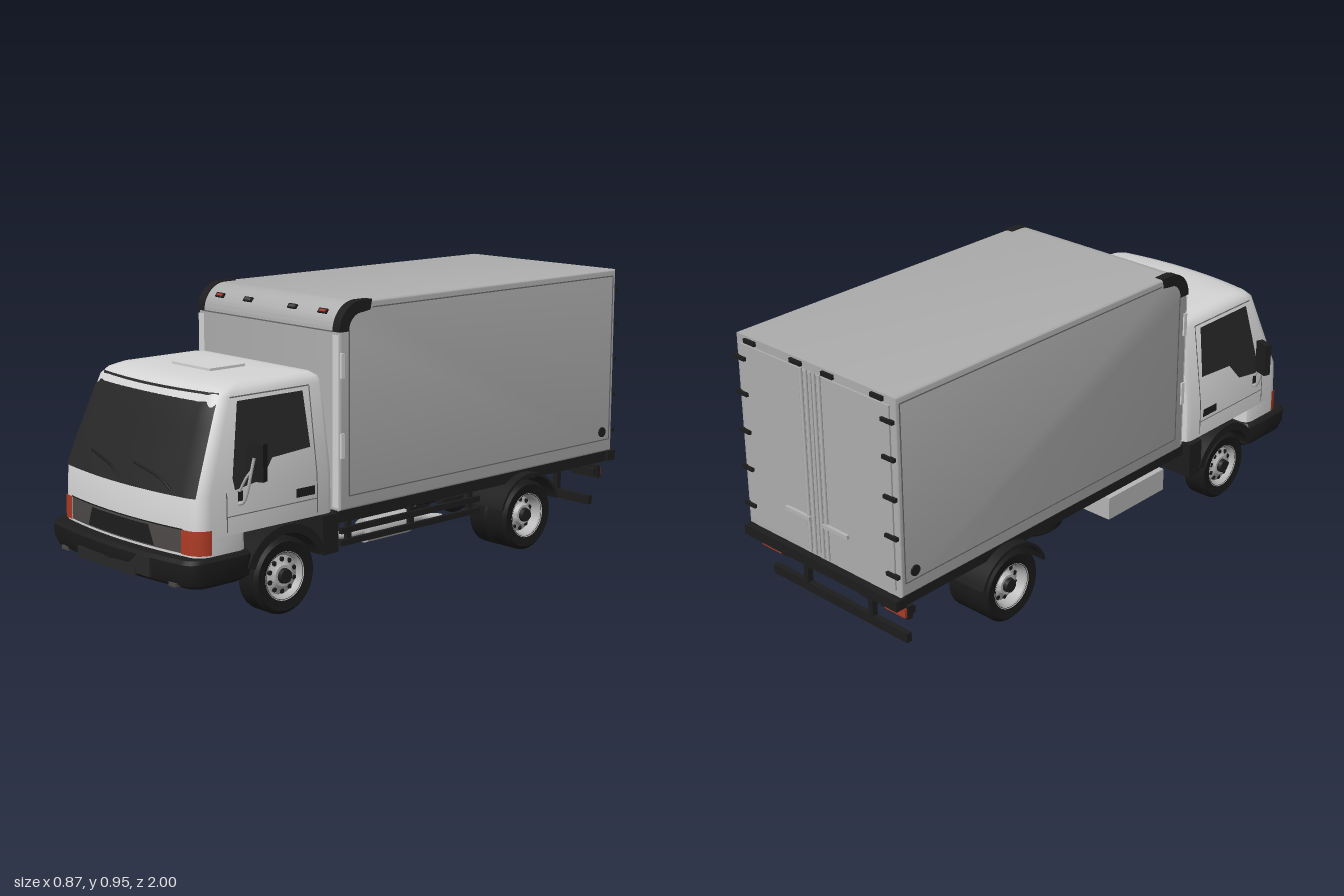
import * as THREE from 'three';
import { toCreasedNormals } from 'three/addons/utils/BufferGeometryUtils.js';

const material = (name, color) => Object.assign(new THREE.MeshStandardMaterial({ color }), { name });
const M = {
  cab: material('cab white', 0xd4d4d4), box: material('cargo grey', 0xaeaeae),
  trim: material('black trim', 0x1d1d1d), glass: material('dark glass', 0x282828),
  rubber: material('tyre rubber', 0x191919), metal: material('silver metal', 0xb6b6b6),
  lamp: material('red lamp', 0xac3a24), grille: material('grille grey', 0x4c4947),
  seam: material('seam grey', 0x6a6a6a),
};
const V = (x, y, z) => new THREE.Vector3(x, y, z);

// Cab sections by height: y, half width, front z, back z
const CAB = [
  [0.235, 0.352, 0.955, 0.387], [0.29, 0.352, 0.955, 0.387], [0.42, 0.35, 0.95, 0.387],
  [0.70, 0.312, 0.842, 0.39], [0.72, 0.3, 0.82, 0.395], [0.732, 0.28, 0.78, 0.41], [0.738, 0.235, 0.71, 0.45],
];
function cabAt(y) {
  let i = 0;
  while (i < CAB.length - 2 && y > CAB[i + 1][0]) i++;
  const k = (y - CAB[i][0]) / (CAB[i + 1][0] - CAB[i][0]);
  return CAB[i].map((v, n) => v + (CAB[i + 1][n] - v) * k);
}
// Point on a bowed front with rounded corners; t runs from -1 (right) to 1 (left)
function frontPoint([y, hw, zf], t, off = 0, r = 0.05, bow = 0.035) {
  const s = Math.abs(t), flat = hw - r, bend = (x) => zf - bow * (x / hw) ** 2;
  let x, z;
  if (s <= 0.8) { x = (s / 0.8) * flat; z = bend(x) + off; } else {
    const a = ((s - 0.8) / 0.2) * Math.PI / 2;
    x = flat + (r + off) * Math.sin(a);
    z = bend(flat) - r + (r + off) * Math.cos(a);
  }
  return V(Math.sign(t) * x, y, z);
}
function ring(sec) {
  const [y, hw, , zb] = sec, p = [], b = 0.025;
  for (let i = -16; i <= 16; i++) p.push(frontPoint(sec, Math.abs(i) <= 8 ? i * 0.1 : Math.sign(i) * (0.8 + (Math.abs(i) - 8) * 0.025)));
  const back = [[hw, zb + b], [hw - b * 0.3, zb + b * 0.3], [hw - b, zb]];
  back.forEach(([x, z]) => p.push(V(x, y, z)));
  back.reverse().forEach(([x, z]) => p.push(V(-x, y, z)));
  return p;
}
function geometryOf(points, index) {
  const g = new THREE.BufferGeometry().setFromPoints(points);
  g.setIndex(index);
  g.computeVertexNormals();
  return g;
}
// Closed body through stacked sections
function loft(sections) {
  const pts = sections.flatMap(ring), n = pts.length / sections.length, idx = [], last = pts.length - n;
  for (let j = 0; j < sections.length - 1; j++) for (let i = 0; i < n; i++) {
    const a = j * n + i, b = j * n + (i + 1) % n;
    idx.push(a, b, b + n, a, b + n, a + n);
  }
  const c = pts.length, mid = (s) => V(0, s[0], (s[2] + s[3]) / 2);
  pts.push(mid(sections[0]), mid(sections.at(-1)));
  for (let i = 0; i < n; i++) idx.push(c, (i + 1) % n, i, c + 1, last + i, last + (i + 1) % n);
  return toCreasedNormals(geometryOf(pts, idx), 0.6);
}
// Thin plate on the cab front; left/right limits given at the bottom and top edge
function frontPlate(y0, y1, l0, r0, l1, r1, off) {
  const nu = 24, nv = 6, pts = [], idx = [], mix = THREE.MathUtils.lerp;
  for (let j = 0; j <= nv; j++) for (let i = 0; i <= nu; i++) {
    const v = j / nv, t = mix(mix(l0, l1, v), mix(r0, r1, v), i / nu);
    pts.push(frontPoint(cabAt(mix(y0, y1, v)), t, off));
    const a = j * (nu + 1) + i;
    if (i < nu && j < nv) idx.push(a, a + 1, a + nu + 2, a, a + nu + 2, a + nu + 1);
  }
  return geometryOf(pts, idx);
}
// Thin plate on a cab side, outline as [z, y]
function sidePlate(outline, s, off) {
  const g = new THREE.ShapeGeometry(new THREE.Shape(outline.map(([z, y]) => new THREE.Vector2(z, y))));
  const p = g.attributes.position;
  for (let i = 0; i < p.count; i++) p.setXYZ(i, s * (cabAt(p.getY(i))[1] + off), p.getY(i), p.getX(i));
  if (s > 0) g.setIndex([...g.index.array].reverse());
  g.computeVertexNormals();
  return g;
}
// Extrude a (z, y) shape across x
function across(shape, x0, x1, bevel = 0) {
  const g = new THREE.ExtrudeGeometry(shape, {
    depth: x1 - x0 - 2 * bevel, curveSegments: 14, bevelEnabled: bevel > 0,
    bevelSize: bevel, bevelThickness: bevel, bevelOffset: -bevel, bevelSegments: 3,
  });
  return toCreasedNormals(g.rotateY(-Math.PI / 2).translate(x1 - bevel, 0, 0), 0.6);
}
function arcBand(z, y, r0, r1, a0, a1) {
  const s = new THREE.Shape();
  s.absarc(z, y, r1, a0, a1, false);
  s.absarc(z, y, r0, a1, a0, true);
  return s;
}
const lathe = (pts) => toCreasedNormals(new THREE.LatheGeometry(pts.map(([r, h]) => new THREE.Vector2(r, h)), 36), 0.5);

export function createModel() {
  const model = new THREE.Group();
  const add = (name, geo, mat, parent = model) => {
    const m = new THREE.Mesh(geo, mat);
    m.name = name;
    parent.add(m);
    return m;
  };
  const block = (name, mat, w, h, d, x, y, z) => {
    const m = add(name, new THREE.BoxGeometry(w, h, d), mat);
    m.position.set(x, y, z);
    return m;
  };
  const tube = (name, mat, r, ...pts) =>
    add(name, new THREE.TubeGeometry(new THREE.CatmullRomCurve3(pts.map((p) => V(...p))), 16, r, 8), mat);
  const sides = (fn) => [1, -1].forEach(fn);

  // Cab shell, nose and bumper
  add('cab', loft(CAB.slice(1)), M.cab);
  add('nose', loft([0.235, 0.295].map((y) => { const s = cabAt(y); s[3] = 0.74; return s; })), M.cab);
  add('bumper', loft([[0.135, 0.33, 0.95, 0.74], [0.155, 0.362, 0.985, 0.73], [0.185, 0.37, 0.997, 0.73],
    [0.225, 0.37, 1, 0.73], [0.236, 0.362, 0.99, 0.735]]), M.trim);
  block('numberPlate', M.glass, 0.11, 0.06, 0.008, 0.145, 0.195, 0.991);
  block('bumperIntake', M.glass, 0.3, 0.035, 0.006, -0.02, 0.172, 0.994);
  add('windscreen', frontPlate(0.415, 0.712, -0.88, 0.88, -0.9, 0.9, 0.004), M.glass);
  add('grillePanel', frontPlate(0.245, 0.316, -0.75, 0.75, -0.75, 0.75, 0.003), M.grille);
  add('grilleCentre', frontPlate(0.25, 0.311, -0.45, 0.45, -0.385, 0.385, 0.006), M.trim);
  add('noseSeam', frontPlate(0.316, 0.32, -0.76, 0.76, -0.76, 0.76, 0.003), M.trim);
  block('roofHatch', M.cab, 0.19, 0.012, 0.14, 0, 0.74, 0.6);
  for (const x of [-0.08, 0.16]) {
    const at = (dx, y) => frontPoint(cabAt(y), ((x + dx) / 0.3) * 0.8, 0.008).toArray();
    tube('wiper', M.trim, 0.004, at(0.08, 0.43), at(0.03, 0.455), at(-0.11, 0.485));
  }

  const window = [[0.745, 0.685], [0.485, 0.685], [0.475, 0.51], [0.63, 0.5], [0.68, 0.44], [0.785, 0.425], [0.79, 0.46]];
  const rect = (z0, z1, y0, y1) => [[z0, y0], [z1, y0], [z1, y1], [z0, y1]];
  sides((s) => {
    const edge = s > 0 ? [0.75, 1] : [-1, -0.75];
    add('headlamp', frontPlate(0.243, 0.318, ...edge, ...edge, 0.005), M.lamp);
    add('sideWindow', sidePlate(window, s, 0.003), M.glass);
    add('doorHandle', sidePlate(rect(0.47, 0.545, 0.362, 0.39), s, 0.005), M.trim);
    add('sideRepeater', sidePlate(rect(0.757, 0.777, 0.39, 0.42), s, 0.005), M.trim);
    for (const r of [rect(0.455, 0.459, 0.3, 0.42), rect(0.455, 0.459, 0.42, 0.7), rect(0.815, 0.819, 0.3, 0.42),
      rect(0.459, 0.77, 0.696, 0.7), rect(0.459, 0.815, 0.345, 0.348)]) add('doorSeam', sidePlate(r, s, 0.002), M.seam);
    block('fogLamp', M.grille, 0.035, 0.012, 0.03, s * 0.28, 0.155, 0.956);

    // Mirrors on tubular arms
    block('mirror', M.trim, 0.055, 0.115, 0.025, s * 0.405, 0.513, 0.742).rotation.y = s * 0.35;
    tube('mirrorArm', M.metal, 0.005, [s * 0.345, 0.38, 0.77], [s * 0.365, 0.385, 0.765], [s * 0.41, 0.53, 0.757]);
    tube('mirrorBrace', M.metal, 0.004, [s * 0.355, 0.42, 0.77], [s * 0.385, 0.47, 0.765], [s * 0.4, 0.49, 0.757]);

    // Arches and mudguards
    const span = (a, b) => (s > 0 ? [a, b] : [-b, -a]);
    add('frontArch', across(arcBand(0.596, 0.124, 0.138, 0.166, 0.35, 2.8), ...span(0.3, 0.372)), M.trim);
    add('frontWheelWell', across(arcBand(0.596, 0.124, 0.138, 0.148, 0.2, 2.9), ...span(0.2, 0.3)), M.trim);
    block('archTail', M.trim, 0.16, 0.125, 0.065, s * 0.29, 0.226, 0.416);
    add('rearMudguard', across(arcBand(-0.513, 0.124, 0.142, 0.152, 0.3, 2.84), ...span(0.19, 0.375)), M.trim);
  });

  // Cargo body with rounded front header
  const body = new THREE.Shape();
  body.moveTo(-0.977, 0.285);
  body.lineTo(0.36, 0.285);
  body.lineTo(0.36, 0.855);
  body.absarc(0.27, 0.855, 0.09, 0, Math.PI / 2, false);
  body.lineTo(-0.977, 0.945);
  add('cargoBody', across(body, -0.35, 0.35, 0.008), M.box);
  block('frontPanelSeam', M.seam, 0.64, 0.004, 0.004, 0, 0.855, 0.36);
  const cap = new THREE.Shape();
  cap.moveTo(0.363, 0.85);
  cap.absarc(0.27, 0.855, 0.093, 0, Math.PI / 2, false);
  cap.lineTo(0.225, 0.948);
  cap.lineTo(0.232, 0.915);
  cap.lineTo(0.268, 0.91);
  cap.absarc(0.268, 0.855, 0.055, Math.PI / 2, 0, true);
  sides((s) => {
    add('cornerCap', across(cap, s > 0 ? 0.32 : -0.353, s > 0 ? 0.353 : -0.32), M.trim);
    block('frontPost', M.cab, 0.028, 0.55, 0.008, s * 0.334, 0.57, 0.359);
    for (const y of [0.495, 0.75]) block('grabHandle', M.cab, 0.01, 0.08, 0.015, s * 0.35, y, 0.35);
    for (const y of [0.33, 0.922]) block('panelSeam', M.seam, 0.003, 0.004, y < 0.5 ? 1.28 : 1.18, s * 0.35, y, y < 0.5 ? -0.32 : -0.37);
    for (const [z, h] of [[0.32, 0.53], [-0.96, 0.592]]) block('panelSeam', M.seam, 0.003, h, 0.004, s * 0.35, 0.33 + h / 2, z);
    const port = add('sidePort', new THREE.CylinderGeometry(0.018, 0.018, 0.01, 16), M.trim);
    port.rotation.z = Math.PI / 2;
    port.position.set(s * 0.35, 0.36, -0.92);
    for (const x of [0.11, 0.255]) {
      block('headerLampBase', M.trim, 0.04, 0.016, 0.012, s * x, 0.91, 0.341).rotation.x = -0.66;
      block('headerLamp', x > 0.2 ? M.lamp : M.grille, 0.028, 0.008, 0.015, s * x, 0.91, 0.341).rotation.x = -0.66;
    }

    // Rear doors: panels, lock rods, handles and hinges
    block('rearDoor', M.box, 0.327, 0.61, 0.008, s * 0.166, 0.612, -0.979);
    for (const x of [0.018, 0.04]) tube('lockRod', M.metal, 0.006, [s * x, 0.3, -0.989], [s * x, 0.925, -0.989]);
    block('lockHandle', M.metal, 0.11, 0.014, 0.01, s * 0.085, 0.42, -0.993);
    for (const y of [0.36, 0.49, 0.62, 0.75, 0.87]) block('hinge', M.trim, 0.05, 0.012, 0.012, s * 0.325, y, -0.986);
    for (const x of [0.07, 0.28]) block('rearMarker', M.trim, 0.05, 0.014, 0.012, s * x, 0.931, -0.98);

    // Frame rails and rear lamps
    block('frameRail', M.trim, 0.035, 0.075, 1.6, s * 0.13, 0.215, -0.13);
    block('bodySill', M.trim, 0.03, 0.04, 1.36, s * 0.325, 0.266, -0.3);
    block('rearLampBase', M.trim, 0.12, 0.045, 0.02, s * 0.275, 0.21, -0.93);
    block('rearLamp', M.lamp, 0.09, 0.03, 0.012, s * 0.285, 0.21, -0.943);
    block('underrunPost', M.trim, 0.02, 0.12, 0.02, s * 0.15, 0.155, -0.915);
  });
  for (let i = 0; i < 8; i++) block('crossMember', M.trim, 0.66, 0.03, 0.03, 0, 0.266, 0.33 - i * 0.18);
  block('rearSill', M.trim, 0.7, 0.035, 0.04, 0, 0.265, -0.98);
  block('lampBar', M.trim, 0.66, 0.025, 0.02, 0, 0.21, -0.915);
  block('underrunBar', M.trim, 0.62, 0.032, 0.02, 0, 0.102, -0.915);
  block('engine', M.trim, 0.32, 0.18, 0.42, 0, 0.2, 0.62);

  // Side guard, storage tank, spare wheel and exhaust
  for (const y of [0.175, 0.215]) block('sideGuard', M.trim, 0.012, 0.02, 0.64, 0.33, y, 0.02);
  for (const z of [0.3, 0.02, -0.26]) block('guardPost', M.trim, 0.015, 0.1, 0.02, 0.322, 0.215, z);
  block('tank', M.metal, 0.17, 0.08, 0.29, -0.245, 0.18, 0.145);
  const muffler = add('muffler', new THREE.CylinderGeometry(0.04, 0.04, 0.2, 20), M.metal);
  muffler.rotation.x = Math.PI / 2;
  muffler.position.set(0.21, 0.155, 0.03);
  tube('exhaustPipe', M.metal, 0.014, [0.21, 0.155, 0.12], [0.19, 0.15, 0.2], [0.08, 0.15, 0.3], [0.06, 0.17, 0.42]);
  tube('tailPipe', M.metal, 0.014, [0.21, 0.155, -0.06], [0.21, 0.155, -0.14], [0.25, 0.15, -0.2]);

  // Wheels: the outer face points along +x before turning
  const tyre = lathe([[0.074, -0.04], [0.11, -0.045], [0.122, -0.034], [0.122, 0.034], [0.11, 0.045], [0.074, 0.04]]);
  const rim = (dish, hub) => lathe([[0, -0.03], [0.078, -0.03], [0.078, 0.042], [0.07, 0.036], [0.062, dish], [0.04, dish + 0.008], [0.034, hub], [0, hub]]);
  function wheel(name, x, z, dish, hub) {
    const spin = new THREE.Group(), turn = new THREE.Group();
    add('tyre', tyre, M.rubber, spin);
    add('rim', rim(dish, hub), M.metal, spin);
    add('hub', new THREE.CylinderGeometry(0.022, 0.026, 0.02, 16), M.trim, spin).position.y = hub + 0.004;
    for (let i = 0; i < 10; i++) {
      const a = i * Math.PI / 5;
      const hole = add('rimHole', new THREE.CylinderGeometry(0.008, 0.008, 0.006, 10), M.trim, spin);
      hole.position.set(0.051 * Math.cos(a), dish + 0.004, 0.051 * Math.sin(a));
    }
    spin.rotation.z = -Math.PI / 2;
    turn.rotation.y = x < 0 ? Math.PI : 0;
    turn.position.set(x, 0.124, z);
    turn.name = name;
    turn.add(spin);
    model.add(turn);
  }
  sides((s) => {
    wheel('frontWheel', s * 0.316, 0.596, 0.022, 0.036);
    wheel('rearOuterWheel', s * 0.32, -0.513, 0.004, 0.026);
    wheel('rearInnerWheel', s * 0.237, -0.513, 0.004, 0.02);
    block('leafSpring', M.trim, 0.04, 0.02, 0.4, s * 0.13, 0.165, -0.513);
  });
  add('spareWheel', tyre, M.rubber).position.set(-0.1, 0.16, -0.16);
  add('spareRim', rim(0.004, 0.02), M.trim).position.set(-0.1, 0.16, -0.16);
  for (const z of [0.596, -0.513]) tube('axle', M.trim, 0.028, [-0.3, 0.124, z], [0.3, 0.124, z]);
  const differential = add('differential', new THREE.SphereGeometry(0.06, 20, 14), M.trim);
  differential.position.set(0, 0.13, -0.513);
  tube('driveShaft', M.trim, 0.018, [0, 0.17, 0.42], [0, 0.135, -0.5]);
  return model;
}
